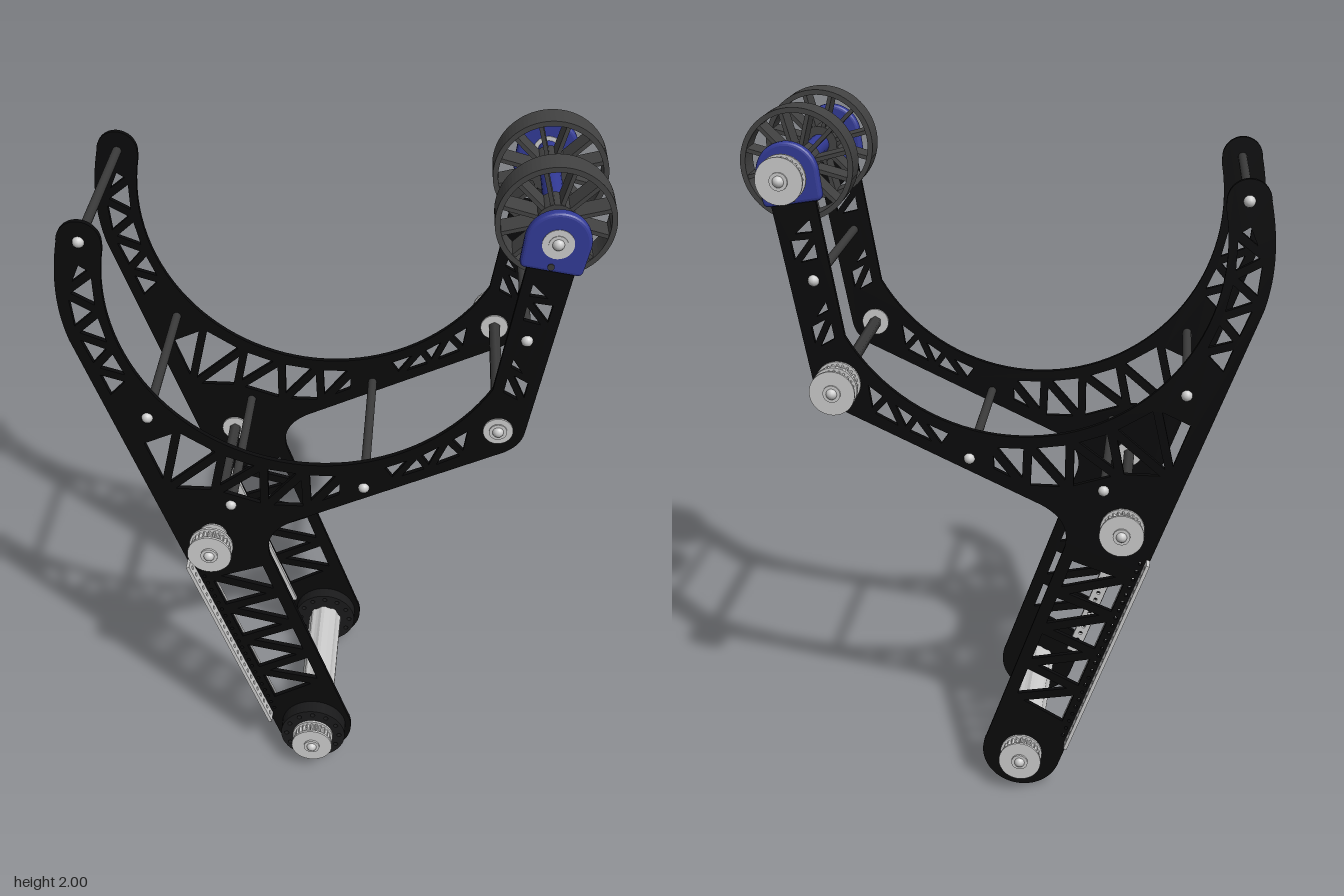
import * as THREE from 'three';

const mat = (color) => new THREE.MeshStandardMaterial({ color });
const black = mat(0x0a0a0b), dark = mat(0x3a3a3a), rubber = mat(0x424242), hubBlack = mat(0x1a1a1b);
const blue = mat(0x323a96), grey = mat(0xcccccc);
const V = (x, y) => new THREE.Vector2(x, y);

export function createModel() {
  const model = new THREE.Group();

  const add = (name, geo, material, x = 0, y = 0, z = 0, parent = model) => {
    const m = new THREE.Mesh(geo, material);
    m.name = name;
    m.position.set(x, y, z);
    parent.add(m);
    return m;
  };
  // Cylinder along z between z0 and z1
  const rod = (name, x, y, r, z0, z1, material, sides = 20, parent = model) =>
    add(name, new THREE.CylinderGeometry(r, r, z1 - z0, sides).rotateX(Math.PI / 2),
      material, x, y, (z0 + z1) / 2, parent);
  // Extrusion centred on its own z
  const slab = (shape, depth, curveSegments = 24) =>
    new THREE.ExtrudeGeometry(shape, { depth, bevelEnabled: false, curveSegments })
      .translate(0, 0, -depth / 2);
  const disc = (r) => new THREE.Shape().absarc(0, 0, r, 0, Math.PI * 2, false);
  // Holes run counterclockwise so that their walls face inwards
  const punch = (shape, x, y, r) =>
    shape.holes.push(new THREE.Path().absarc(x, y, r, 0, Math.PI * 2, false));
  // Toothed outline alternating between two radii
  const toothed = (n, r0, r1) => {
    const pts = [];
    for (let i = 0; i < n * 4; i++) {
      const a = (i / (n * 4)) * Math.PI * 2, r = i % 4 < 2 ? r1 : r0;
      pts.push(V(Math.cos(a) * r, Math.sin(a) * r));
    }
    return new THREE.Shape(pts);
  };

  // Side plate outline, clockwise
  const plate = new THREE.Shape();
  plate.moveTo(-0.576, 1.79);
  plate.absarc(-0.047, 1.68, 0.54, Math.PI - 0.205, Math.PI * 2 - 0.52, false);
  plate.lineTo(0.482, 1.78);
  plate.lineTo(0.604, 1.78);
  plate.lineTo(0.515, 1.28);
  plate.quadraticCurveTo(0.508, 1.235, 0.463, 1.21);
  plate.lineTo(-0.1, 0.945);
  plate.quadraticCurveTo(-0.2, 0.9, -0.18, 0.81);
  plate.lineTo(0.048, 0.16);
  plate.absarc(-0.06, 0.12, 0.116, 0.35, Math.PI + 0.35, true);
  plate.lineTo(-0.687, 1.52);
  plate.bezierCurveTo(-0.716, 1.62, -0.71, 1.72, -0.69, 1.81);
  plate.absarc(-0.633, 1.81, 0.057, Math.PI, 0, true);

  // Truss cut-outs: every three successive nodes make one inset triangle
  const truss = (nodes, inset) => {
    for (let i = 0; i + 2 < nodes.length; i++) {
      const [a, b, c] = nodes.slice(i, i + 3).map(([x, y]) => V(x, y));
      const la = b.distanceTo(c), lb = c.distanceTo(a), lc = a.distanceTo(b), p = la + lb + lc;
      const centre = V((a.x * la + b.x * lb + c.x * lc) / p, (a.y * la + b.y * lb + c.y * lc) / p);
      const area = (b.x - a.x) * (c.y - a.y) - (c.x - a.x) * (b.y - a.y);
      const k = 1 - (inset * p) / Math.abs(area);
      if (k < 0.15) continue;
      const corners = area > 0 ? [a, b, c] : [a, c, b];
      plate.holes.push(new THREE.Path(corners.map((v) => v.sub(centre).multiplyScalar(k).add(centre))));
    }
  };
  const leg = [];
  for (let i = 0; i <= 9; i++) {
    const t = i / 9;
    leg.push(i % 2 ? [-0.008 - 0.186 * t, 0.245 + 0.54 * t] : [-0.188 - 0.204 * t, 0.215 + 0.57 * t]);
  }
  truss(leg, 0.013);
  // horn
  truss([[-0.645, 1.76], [-0.6, 1.73], [-0.688, 1.66], [-0.598, 1.61], [-0.677, 1.54],
    [-0.573, 1.5], [-0.633, 1.43], [-0.53, 1.4], [-0.597, 1.33]], 0.011);
  // cradle
  truss([[-0.53, 1.2], [-0.42, 1.25], [-0.47, 1.03], [-0.3, 1.175], [-0.33, 1.03], [-0.19, 1.135],
    [-0.19, 0.985], [-0.075, 1.118], [-0.07, 0.985], [0.035, 1.118], [0.03, 1.035]], 0.012);
  truss([[0.13, 1.145], [0.165, 1.095], [0.23, 1.19], [0.265, 1.14], [0.31, 1.245],
    [0.36, 1.19], [0.375, 1.295]], 0.009);
  // wheel arm
  truss([[0.44, 1.4], [0.508, 1.36], [0.453, 1.48], [0.522, 1.44], [0.465, 1.53]], 0.009);
  truss([[0.475, 1.62], [0.552, 1.6], [0.485, 1.69], [0.567, 1.68], [0.495, 1.75]], 0.009);
  // row of rail screw holes
  for (let i = 0; i < 24; i++) {
    const t = -0.31 + i * 0.027;
    punch(plate, -0.288 - 0.337 * t, 0.477 + 0.941 * t, 0.005);
  }
  const plateGeo = slab(plate, 0.014);
  for (const s of [-1, 1]) add(s > 0 ? 'frontPlate' : 'backPlate', plateGeo, black, 0, -0.004, s * 0.262);

  // Cross rods with domed screw heads
  const dome = new THREE.SphereGeometry(0.016, 14, 8);
  for (const [x, y] of [[-0.633, 1.806], [-0.5, 1.276], [-0.285, 0.986], [0.087, 1.066], [0.499, 1.562]]) {
    rod('crossRod', x, y, 0.013, -0.262, 0.262, dark);
    for (const s of [-1, 1]) add('screwHead', dome, grey, x, y, s * 0.267);
  }

  // Drive shafts, bearings and end screws
  const shaft = (x, y, z0, z1) => {
    rod('shaft', x, y, 0.018, z0, z1, dark, 6);
    for (const z of [z0, z1]) {
      rod('endWasher', x, y, 0.024, z - 0.004, z + 0.004, grey);
      add('endScrew', dome, grey, x, y, z);
    }
    for (const s of [-1, 1]) rod('bearing', x, y, 0.04, s * 0.262 - 0.012, s * 0.262 + 0.012, grey, 28);
  };
  const elbow = [-0.34, 0.876], knee = [0.443, 1.278], axle = [0.553, 1.848], pivot = [-0.06, 0.117];
  shaft(...elbow, -0.326, 0.362);
  shaft(...knee, -0.362, 0.274);
  shaft(...axle, -0.362, 0.28);
  shaft(...pivot, -0.326, 0.362);

  // Flanged timing pulleys
  const pulley = (x, y, z0, z1) => {
    const g = new THREE.Group();
    g.name = 'pulley';
    model.add(g);
    add('pulleyTeeth', slab(toothed(24, 0.049, 0.056), z1 - z0 - 0.004), grey, x, y, (z0 + z1) / 2, g);
    rod('pulleyFlange', x, y, 0.062, z0, z0 + 0.007, grey, 36, g);
    rod('pulleyFlange', x, y, 0.062, z1 - 0.007, z1, grey, 36, g);
  };
  for (const p of [elbow, pivot]) {
    pulley(...p, 0.314, 0.36);
    pulley(...p, -0.324, -0.275);
  }
  pulley(...knee, -0.322, -0.276);
  pulley(...knee, -0.361, -0.323);
  pulley(...axle, -0.361, -0.318);
  rod('spacer', ...elbow, 0.028, 0.27, 0.314, blue);
  rod('wheelShaftSleeve', ...axle, 0.028, -0.318, 0.25, blue);

  // Pivot: fluted tube and perforated hub plates
  add('pivotTube', slab(toothed(8, 0.049, 0.053), 0.48), grey, ...pivot, 0.024);
  const hub = disc(0.099);
  for (let i = 0; i < 12; i++) {
    const a = (i / 12) * Math.PI * 2;
    punch(hub, Math.cos(a) * 0.082, Math.sin(a) * 0.082, 0.007);
  }
  const hubGeo = slab(hub, 0.044);
  for (const z of [-0.238, 0.29]) add('pivotHub', hubGeo, hubBlack, ...pivot, z);

  // Perforated angle rails: one flange on the leg's edge, one on the plate's inner face
  const strip = new THREE.Shape([V(-0.33, -0.02), V(0.33, -0.02), V(0.33, 0.02), V(-0.33, 0.02)]);
  for (let i = 0; i < 24; i++) punch(strip, -0.31 + i * 0.027, 0, 0.006);
  const flangeGeo = slab(strip, 0.01, 6);
  const edgeGeo = flangeGeo.clone().rotateX(Math.PI / 2);
  for (const s of [-1, 1]) {
    const rail = new THREE.Group();
    rail.name = 'legRail';
    rail.position.set(-0.302, 0.468, 0);
    rail.rotation.z = Math.PI / 2 + 0.344;
    model.add(rail);
    add('railEdgeFlange', edgeGeo, grey, 0, 0.002, s * 0.286, rail);
    add('railInnerFlange', flangeGeo, grey, 0, -0.015, s * 0.25, rail);
  }

  // Wheel brackets with rounded rims
  const bracket = new THREE.Shape();
  bracket.moveTo(0.083, 0);
  bracket.absarc(0, 0, 0.083, 0, Math.PI, false);
  bracket.lineTo(-0.08, -0.065);
  bracket.quadraticCurveTo(-0.079, -0.08, -0.064, -0.08);
  bracket.lineTo(0.064, -0.08);
  bracket.quadraticCurveTo(0.079, -0.08, 0.08, -0.065);
  const bracketGeo = new THREE.ExtrudeGeometry(bracket, {
    depth: 0.012, bevelThickness: 0.009, bevelSize: 0.009, bevelOffset: -0.009, bevelSegments: 3, curveSegments: 24,
  }).translate(0, 0, -0.006);
  for (const s of [-1, 1]) {
    const z = s * 0.265;
    add('wheelBracket', bracketGeo, blue, ...axle, z).rotation.z = -0.16;
    rod('bracketBearing', ...axle, 0.04, z - 0.017, z + 0.017, grey, 28);
    rod('bracketScrew', 0.54, 1.785, 0.009, z - 0.018, z + 0.018, dark, 12);
  }

  // Spoked wheels
  const rim = disc(0.152);
  punch(rim, 0, 0, 0.138);
  const rimGeo = slab(rim, 0.076, 40);
  const spokeGeo = new THREE.BoxGeometry(0.1, 0.011, 0.068).translate(0.092, 0, 0);
  for (const s of [-1, 1]) {
    const wheel = new THREE.Group();
    wheel.name = 'wheel';
    wheel.position.set(...axle, s * 0.134);
    model.add(wheel);
    add('tyre', rimGeo, rubber, 0, 0, 0, wheel);
    rod('wheelHub', 0, 0, 0.05, -0.036, 0.036, rubber, 28, wheel);
    for (let i = 0; i < 12; i++) add('spoke', spokeGeo, rubber, 0, 0, 0, wheel).rotation.z = (i + 0.5) * Math.PI / 6;
  }

  return model;
}
